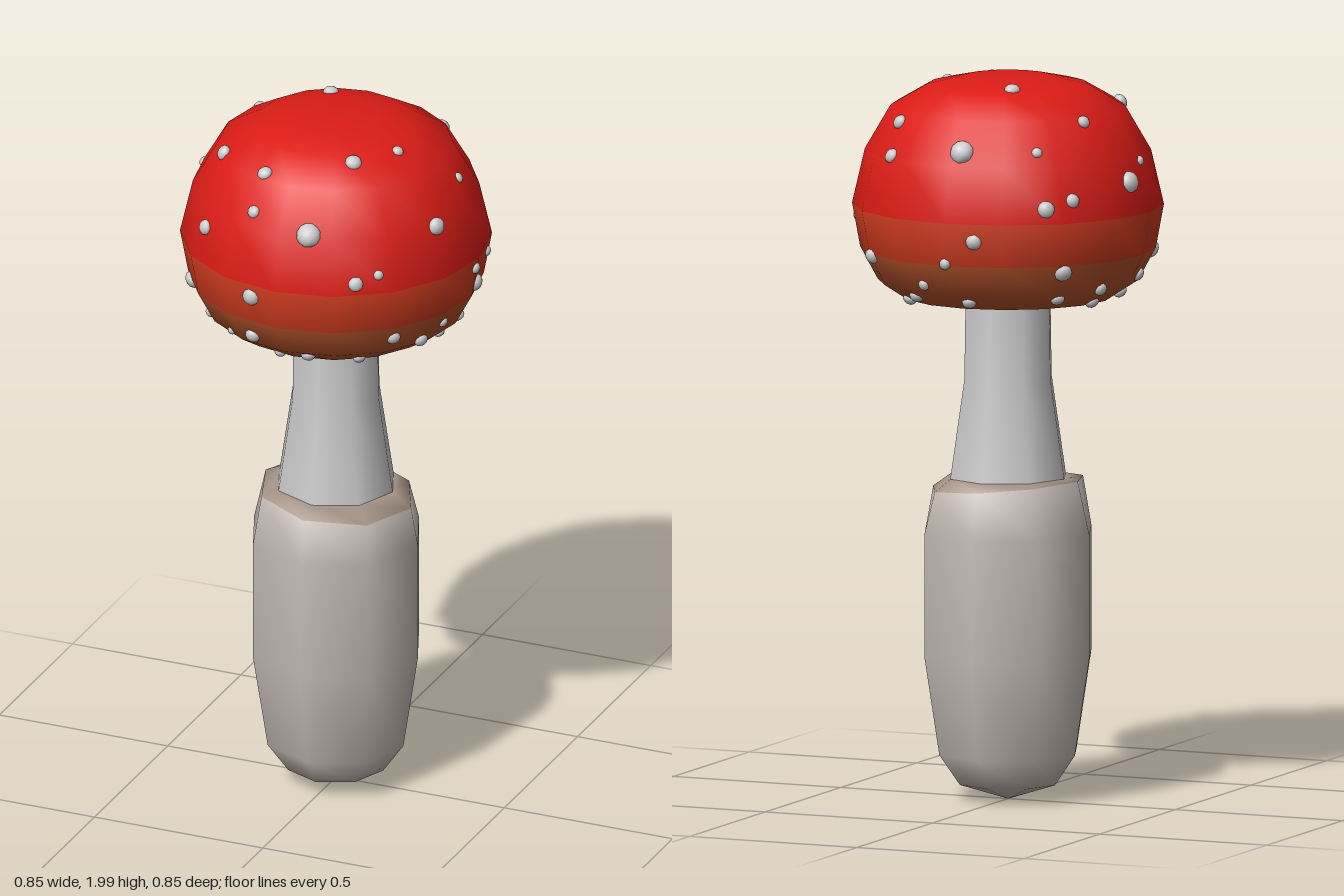
import * as THREE from 'three';

const mat = (color) => new THREE.MeshStandardMaterial({ color, side: THREE.DoubleSide });
const toPoints = (list) => list.map(([r, y]) => new THREE.Vector2(r, y));

// One mesh from rows first..last of a lathe, sharing its smooth normals
function band(lathe, rows, first, last, color, name) {
  const geometry = lathe.clone();
  const kept = [];
  const index = lathe.index.array;
  for (let i = 0; i < index.length; i += 3) {
    const tri = [index[i], index[i + 1], index[i + 2]];
    if (tri.every((v) => v % rows >= first && v % rows <= last)) kept.push(...tri);
  }
  geometry.setIndex(kept);
  const mesh = new THREE.Mesh(geometry, mat(color));
  mesh.name = name;
  return mesh;
}

// Cap outline from the underside to the crown: radius, height
const CAP = [
  [0.0, 1.39], [0.2, 1.38], [0.29, 1.388], [0.355, 1.43], [0.403, 1.52], [0.425, 1.64],
  [0.39, 1.79], [0.32, 1.91], [0.22, 1.968], [0.12, 1.99], [0.0, 1.993],
];

// Base sheath outline from its tip to the inner lip
const SHEATH = [
  [0.0, 0.0], [0.14, 0.045], [0.2, 0.13], [0.243, 0.4], [0.243, 0.74],
  [0.216, 0.867], [0.165, 0.89], [0.15, 0.86],
];

// Warts: angle in degrees (0 = front, 90 = left), height, size
const UPPER_WARTS = [
  [12, 1.8, 0.034], [-17, 1.92, 0.021], [-15, 1.83, 0.018], [-53, 1.91, 0.022], [-40, 1.735, 0.022],
  [31, 1.67, 0.021], [40, 1.69, 0.014], [35, 1.955, 0.023], [69, 1.958, 0.016], [96, 1.85, 0.015],
  [68, 1.785, 0.025], [208, 1.977, 0.022], [261, 1.73, 0.03], [271, 1.78, 0.014], [184, 1.83, 0.033],
  [219, 1.68, 0.024], [230, 1.7, 0.02], [217, 1.83, 0.015], [244, 1.9, 0.018], [147, 1.8, 0.021],
  [141, 1.885, 0.021],
];
const LOWER_WARTS = [
  [-11, 1.6, 0.025], [-62, 1.51, 0.025], [-48, 1.45, 0.014], [-30, 1.44, 0.012], [-15, 1.46, 0.022],
  [10, 1.415, 0.02], [48, 1.48, 0.02], [64, 1.44, 0.02], [75, 1.475, 0.015], [89, 1.61, 0.016],
  [94, 1.55, 0.024], [108, 1.6, 0.015], [136, 1.515, 0.022], [81, 1.42, 0.016], [100, 1.425, 0.02],
  [155, 1.415, 0.02], [165, 1.455, 0.016], [140, 1.395, 0.02], [191, 1.59, 0.022], [179, 1.525, 0.016],
  [227, 1.5, 0.025], [228, 1.42, 0.02], [249, 1.44, 0.019], [255, 1.395, 0.02], [185, 1.41, 0.02],
  [283, 1.455, 0.02], [-8, 1.392, 0.016], [36, 1.392, 0.018], [-70, 1.4, 0.02],
];

// Wart pressed onto the cap, flattened along the surface normal
function wart([degrees, y, size]) {
  const i = CAP.findIndex(([, top], k) => k > 1 && top >= y);
  const [r0, y0] = CAP[i - 1];
  const [r1, y1] = CAP[i];
  const a = THREE.MathUtils.degToRad(degrees);
  const r = THREE.MathUtils.lerp(r0, r1, (y - y0) / (y1 - y0));
  // Pull slightly inwards between the corners of the 16-sided cap
  const step = Math.PI / 8;
  const local = a - (Math.floor(a / step) + 0.5) * step;
  const radius = (r * Math.cos(step / 2)) / Math.cos(local);
  const slope = new THREE.Vector2(y1 - y0, r0 - r1).normalize();
  const normal = new THREE.Vector3(slope.x * Math.sin(a), slope.y, slope.x * Math.cos(a));
  const mesh = new THREE.Mesh(new THREE.IcosahedronGeometry(1, 1), mat(0xcccccc));
  mesh.name = 'wart';
  mesh.scale.set(size, size * 0.75, size);
  mesh.position.set(radius * Math.sin(a), y, radius * Math.cos(a));
  mesh.quaternion.setFromUnitVectors(new THREE.Vector3(0, 1, 0), normal);
  return mesh;
}

export function createModel() {
  const model = new THREE.Group();
  model.name = 'mushroom';

  // Cap, fading from red to brownish orange underneath
  const capLathe = new THREE.LatheGeometry(toPoints(CAP), 16);
  const cap = new THREE.Group();
  cap.name = 'cap';
  cap.add(
    band(capLathe, CAP.length, 0, 4, 0xb5522a, 'capUnderside'),
    band(capLathe, CAP.length, 4, 5, 0xcc3a1e, 'capEdge'),
    band(capLathe, CAP.length, 5, CAP.length - 1, 0xdc1c16, 'capTop'),
  );
  model.add(cap);

  const warts = new THREE.Group();
  warts.name = 'warts';
  [...UPPER_WARTS, ...LOWER_WARTS].forEach((w) => warts.add(wart(w)));
  model.add(warts);

  // Stem
  const stem = new THREE.Mesh(
    new THREE.LatheGeometry(toPoints([[0.175, 0.83], [0.168, 0.89], [0.127, 1.16], [0.123, 1.42]]), 8),
    mat(0xcccccc),
  );
  stem.name = 'stem';
  model.add(stem);

  // Base sheath with an uneven rim
  const sheathLathe = new THREE.LatheGeometry(toPoints(SHEATH), 8);
  const pos = sheathLathe.attributes.position;
  for (let i = 0; i < pos.count; i++) {
    if (i % SHEATH.length !== 5) continue;
    const x = pos.getX(i);
    const z = pos.getZ(i);
    const a = Math.atan2(x, z);
    const grow = 1 + 0.06 * Math.cos(a - 0.6);
    pos.setXYZ(i, x * grow, pos.getY(i) - 0.018 * Math.sin(a), z * grow);
  }
  const sheath = new THREE.Group();
  sheath.name = 'sheath';
  sheath.add(
    band(sheathLathe, SHEATH.length, 0, 5, 0xc4bab4, 'sheathBody'),
    band(sheathLathe, SHEATH.length, 5, SHEATH.length - 1, 0xab998c, 'sheathLip'),
  );
  model.add(sheath);

  return model;
}
